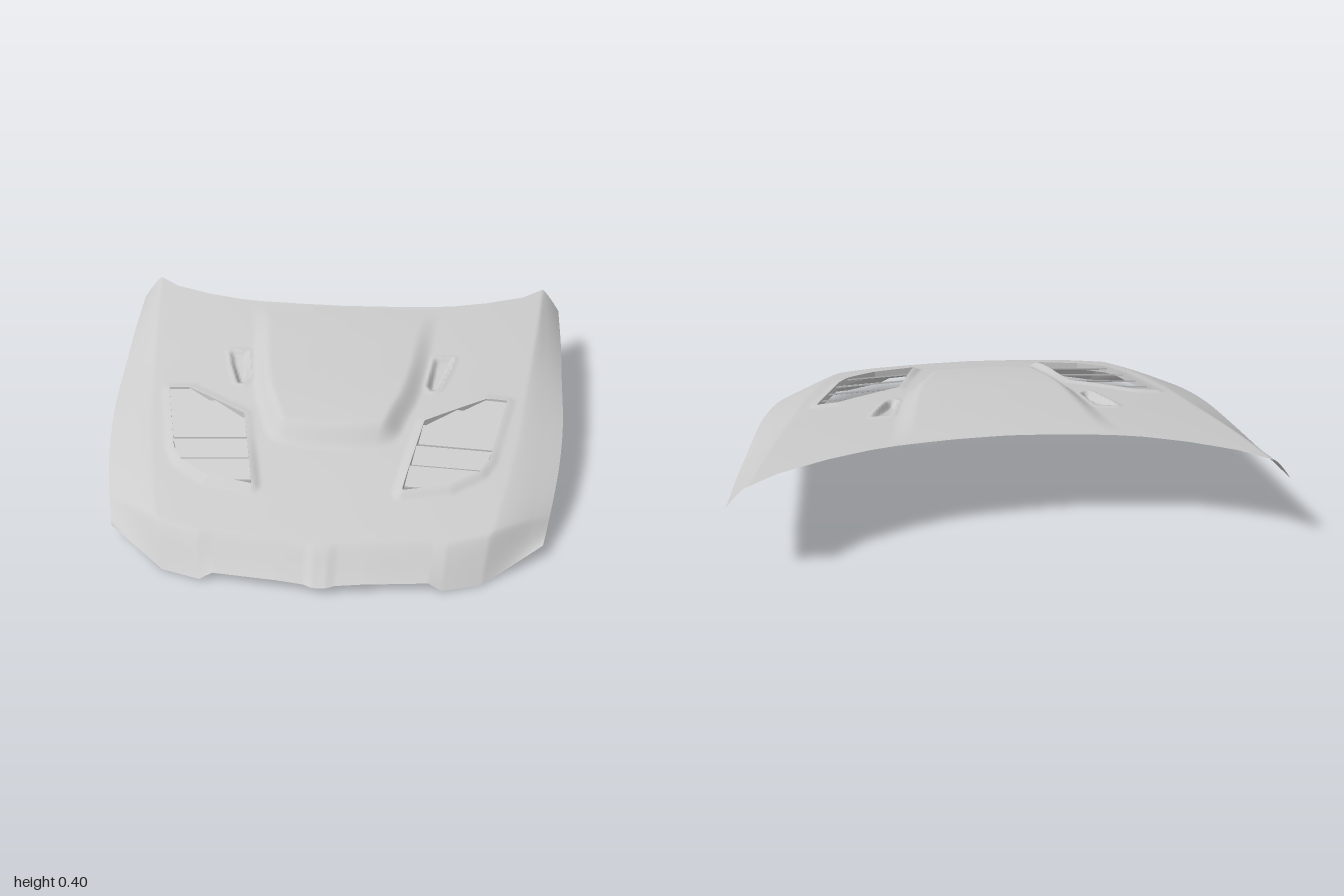
import * as THREE from 'three';
import { ConvexGeometry } from 'three/addons/geometries/ConvexGeometry.js';

const { lerp, clamp, smoothstep } = THREE.MathUtils;

// straight and smooth interpolation through [input, value] pairs
function find(tab, x) {
  let i = 0;
  while (i < tab.length - 2 && x > tab[i + 1][0]) i++;
  return i;
}
function linear(tab, x) {
  const i = find(tab, x), [a, b] = [tab[i], tab[i + 1]];
  return lerp(a[1], b[1], clamp((x - a[0]) / (b[0] - a[0]), 0, 1));
}
function smooth(tab, x) {
  const i = find(tab, x), [a, b] = [tab[i], tab[i + 1]], h = b[0] - a[0];
  const p = tab[Math.max(i - 1, 0)], n = tab[Math.min(i + 2, tab.length - 1)];
  const ma = (b[1] - p[1]) / (b[0] - p[0]) * h, mb = (n[1] - a[1]) / (n[0] - a[0]) * h;
  const u = clamp((x - a[0]) / h, 0, 1), u2 = u * u, u3 = u2 * u;
  return (2 * u3 - 3 * u2 + 1) * a[1] + (u3 - 2 * u2 + u) * ma + (3 * u2 - 2 * u3) * b[1] + (u3 - u2) * mb;
}

// plan outline: t runs centre to side, s runs rear to front
const rearZ = [[0, -0.63], [0.2, -0.64], [0.4, -0.66], [0.5, -0.68], [0.65, -0.73], [0.82, -0.81], [0.92, -0.9], [1, -0.865]];
const frontZ = [[0, 0.89], [0.03, 0.89], [0.07, 0.875], [0.24, 0.86], [0.48, 0.835], [0.54, 0.843], [0.72, 0.79], [1, 0.61]];
const halfWidth = [[0, 1], [0.18, 0.99], [0.38, 0.97], [0.587, 0.95], [0.742, 0.92], [0.878, 0.88], [1, 0.835]];
// heights of the centre line, the side edge and the front edge
const centreY = [[-0.9, 0.43], [-0.63, 0.4], [-0.4, 0.37], [-0.2, 0.34], [0, 0.31], [0.2, 0.275], [0.4, 0.235], [0.6, 0.185], [0.75, 0.142], [0.89, 0.09]];
const sideY = [[0, 0.29], [0.18, 0.265], [0.4, 0.24], [0.587, 0.21], [0.756, 0.17], [0.871, 0.13], [1, 0.055]];
const frontY = [[0, 0.033], [0.2, 0.04], [0.48, 0.035], [0.54, 0.008], [0.72, 0], [1, 0.055]];
// raised centre bulge
const bulgeWidth = [[-0.65, 0.45], [-0.5, 0.42], [-0.2, 0.385], [0, 0.35], [0.15, 0.3], [0.3, 0.26]];
const bulgeHeight = [[-0.63, 0], [-0.5, 0.012], [-0.2, 0.036], [0, 0.049], [0.15, 0.055], [0.35, 0.055]];

// vent opening and small pocket on the +x side, as [x, z] loops
const vent = [[0.715, -0.035], [0.63, -0.035], [0.37, 0.13], [0.29, 0.515], [0.47, 0.475], [0.59, 0.39], [0.63, 0.32]];
const pocket = [[0.41, -0.28], [0.49, -0.285], [0.47, -0.2], [0.425, -0.07], [0.4, -0.06], [0.38, -0.09]];

function nearest(loop, x, z) {
  let best = { d: Infinity };
  let inside = false;
  loop.forEach(([ax, az], i) => {
    const [bx, bz] = loop[(i + 1) % loop.length];
    const dx = bx - ax, dz = bz - az;
    const u = clamp(((x - ax) * dx + (z - az) * dz) / (dx * dx + dz * dz), 0, 1);
    const px = ax + u * dx, pz = az + u * dz, d = Math.hypot(x - px, z - pz);
    if (d < best.d) best = { d, x: px, z: pz };
    if ((az > z) !== (bz > z) && x < ax + (z - az) / dz * dx) inside = !inside;
  });
  return { ...best, inside };
}

function planPoint(t, s) {
  const a = Math.abs(t);
  return [t * smooth(halfWidth, s), lerp(linear(rearZ, a), linear(frontZ, a), s)];
}
function planParams(x, z) {
  let t = x, s = 0.5;
  for (let k = 0; k < 12; k++) {
    const r = linear(rearZ, t);
    s = clamp((z - r) / (linear(frontZ, t) - r), 0, 1);
    t = clamp(x / smooth(halfWidth, s), 0, 1);
  }
  return [t, s];
}

// height of the skin
function height(px, z, t, s) {
  const x = Math.abs(px);
  let y = smooth(centreY, z) - 0.055 * x * x;
  // side roll beyond the shoulder crease
  const shoulder = lerp(0.92, 0.72, s), q = clamp((t - shoulder) / (1 - shoulder), 0, 1);
  const [ex, ez] = planPoint(1, s);
  y -= (smooth(centreY, ez) - 0.055 * ex * ex - smooth(sideY, s)) * Math.pow(q, 1.25);
  // centre bulge
  const front = 0.32 - 1.2 * Math.pow(x, 2.5);
  y += smooth(bulgeHeight, z) * smoothstep(smooth(bulgeWidth, z) - x, 0, 0.085) * smoothstep(front - z, 0, 0.1);
  // raised rim round the vent, taller at the front lip
  const v = nearest(vent, x, z), rim = clamp(1 - v.d / 0.04, 0, 1);
  y += lerp(0.007, 0.016, smoothstep(z, 0.2, 0.45)) * (v.inside ? 1 : rim * rim * (3 - 2 * rim));
  // pocket, deepest at its front
  const p = nearest(pocket, x, z);
  if (p.inside) y -= lerp(0.014, 0.028, smoothstep(z, -0.28, -0.1)) * smoothstep(p.d, 0, 0.014);
  else y += 0.005 * smoothstep(0.025 - p.d, 0, 0.025);
  // nose fold
  const k = Math.pow(clamp((s - 0.92) / 0.08, 0, 1), 1.4);
  return lerp(y, linear(frontY, t), k);
}
const surfaceY = (x, z) => height(x, z, ...planParams(Math.abs(x), z));

function skinGeometry() {
  const cols = 200, rows = 160, pts = [], index = [];
  const id = (i, j) => j * (cols + 1) + i;
  for (let j = 0; j <= rows; j++) {
    for (let i = 0; i <= cols; i++) {
      const t = i / cols * 2 - 1, s = j / rows;
      const [x, z] = planPoint(t, s);
      pts.push({ x, z, t: Math.abs(t), s, cut: false, kept: false });
    }
  }
  for (let j = 0; j < rows; j++) {
    for (let i = 0; i < cols; i++) {
      const q = [id(i, j), id(i, j + 1), id(i + 1, j + 1), id(i + 1, j)];
      const cx = q.reduce((m, n) => m + pts[n].x / 4, 0), cz = q.reduce((m, n) => m + pts[n].z / 4, 0);
      const cut = nearest(vent, Math.abs(cx), cz).inside;
      q.forEach(n => { pts[n][cut ? 'cut' : 'kept'] = true; });
      if (!cut) index.push(q[0], q[1], q[3], q[1], q[2], q[3]);
    }
  }
  // pull the rim of each opening onto the vent loop
  const pos = pts.flatMap(p => {
    let { x, z, t, s } = p;
    if (p.cut && p.kept) {
      const n = nearest(vent, Math.abs(x), z);
      x = Math.sign(x) * n.x;
      z = n.z;
      [t, s] = planParams(n.x, z);
    }
    return [x, height(x, z, t, s), z];
  });
  return meshGeometry(pos, index);
}

function meshGeometry(pos, index) {
  const g = new THREE.BufferGeometry();
  g.setAttribute('position', new THREE.Float32BufferAttribute(pos, 3));
  g.setIndex(index);
  g.computeVertexNormals();
  return g;
}

// short wall hanging below the vent opening
function ventWall(side) {
  const pos = [], index = [], steps = 12;
  vent.forEach(([ax, az], i) => {
    const [bx, bz] = vent[(i + 1) % vent.length], base = pos.length / 3;
    for (let k = 0; k <= steps; k++) {
      const x = lerp(ax, bx, k / steps), z = lerp(az, bz, k / steps), y = surfaceY(x, z);
      pos.push(side * x, y, z, side * x, y - 0.03, z);
      const n = base + 2 * k;
      if (k < steps) index.push(n, n + 1, n + 2, n + 1, n + 3, n + 2);
    }
  });
  return meshGeometry(pos, index);
}

function ventSpan(z) {
  const xs = [];
  vent.forEach(([ax, az], i) => {
    const [bx, bz] = vent[(i + 1) % vent.length];
    if ((az > z) !== (bz > z)) xs.push(ax + (z - az) / (bz - az) * (bx - ax));
  });
  return [Math.min(...xs), Math.max(...xs)];
}

// tilted louvre blade, high at its rear edge
function bladeGeometry(side, z0, z1) {
  const pts = [];
  for (const [z, drop] of [[z0, 0.006], [z1, 0.028]]) {
    for (const x of ventSpan(z)) {
      const y = surfaceY(x, z) - drop;
      pts.push(new THREE.Vector3(side * x, y, z), new THREE.Vector3(side * x, y - 0.007, z));
    }
  }
  return new ConvexGeometry(pts);
}

export function createModel() {
  const group = new THREE.Group();
  group.name = 'bonnet';
  const material = new THREE.MeshStandardMaterial({ color: 0xcccccc, side: THREE.DoubleSide });
  const add = (geometry, name, parent) => {
    const mesh = new THREE.Mesh(geometry, material);
    mesh.name = name;
    parent.add(mesh);
  };
  add(skinGeometry(), 'bonnetSkin', group);
  for (const side of [1, -1]) {
    const g = new THREE.Group();
    g.name = side > 0 ? 'leftVent' : 'rightVent';
    add(ventWall(side), 'ventWall', g);
    for (const z of [-0.03, 0.045, 0.15, 0.27, 0.385]) add(bladeGeometry(side, z, z + 0.085), 'louvreBlade', g);
    group.add(g);
  }
  return group;
}
